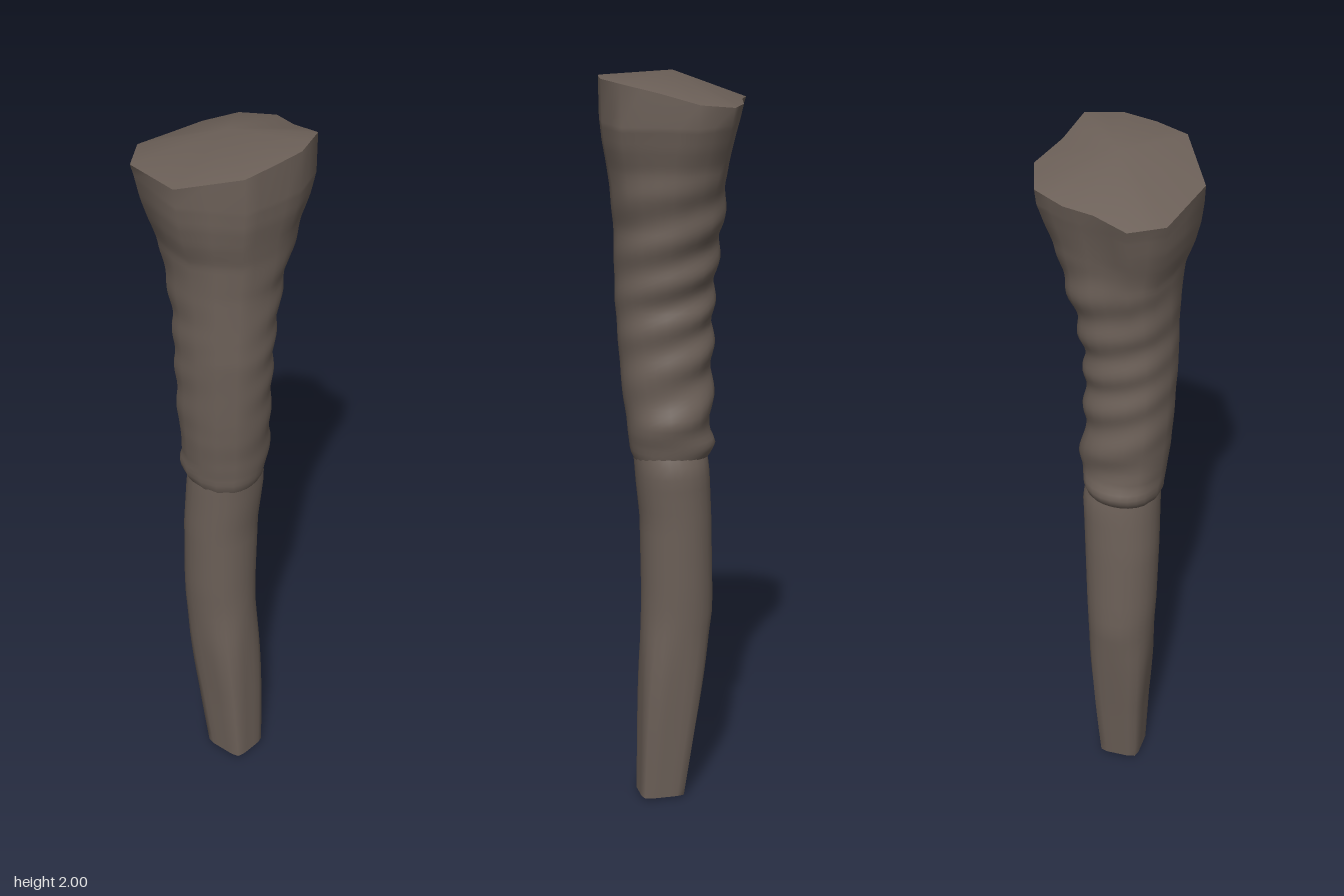
import * as THREE from 'three';

const bark = new THREE.MeshStandardMaterial({ color: 0x6c6058 });
bark.name = 'dull brown';

// uneven outline of the wide top end: x, y, z, clockwise from above
const RIM = [
  [-0.085, 1.91, -0.21], [0.01, 1.92, -0.173], [0.095, 1.92, -0.154], [0.182, 1.925, -0.108],
  [0.214, 1.94, -0.01], [0.17, 1.965, 0.08], [0.145, 1.99, 0.178], [0.048, 1.99, 0.208],
  [-0.04, 1.985, 0.196], [-0.125, 1.975, 0.175], [-0.215, 1.93, 0.025], [-0.17, 1.91, -0.157],
];

// each section: y, xMin, xMax, zMin, zMax
const LOWER = [
  [0.01, -0.057, 0.054, -0.015, 0.105], [0.2, -0.07, 0.064, -0.045, 0.101],
  [0.4, -0.09, 0.075, -0.079, 0.096], [0.53, -0.1, 0.081, -0.1, 0.093],
  [0.6, -0.105, 0.084, -0.1, 0.092], [0.8, -0.111, 0.09, -0.096, 0.095],
  [0.9, -0.11, 0.095, -0.091, 0.106], [0.95, -0.11, 0.099, -0.088, 0.11],
  [0.995, -0.108, 0.082, -0.08, 0.113],
];
const UPPER = [
  [0.965, -0.108, 0.08, -0.08, 0.11], [0.985, -0.119, 0.088, -0.1, 0.119],
  [1.01, -0.121, 0.094, -0.108, 0.122], [1.04, -0.124, 0.101, -0.093, 0.126],
  [1.08, -0.128, 0.105, -0.094, 0.13], [1.13, -0.135, 0.097, -0.1, 0.136],
  [1.2, -0.14, 0.092, -0.1, 0.142], [1.4, -0.15, 0.092, -0.105, 0.155],
  [1.5, -0.151, 0.108, -0.113, 0.158], [1.6, -0.156, 0.128, -0.132, 0.163],
  [1.7, -0.166, 0.158, -0.149, 0.177], [1.76, -0.188, 0.17, -0.163, 0.186],
  [1.82, -0.203, 0.194, -0.181, 0.199], [1.88, -0.211, 0.212, -0.198, 0.207],
];

// linear lookup of a section at height y
function sectionAt(table, y) {
  let i = 0;
  while (i < table.length - 2 && y > table[i + 1][0]) i++;
  const t = (y - table[i][0]) / (table[i + 1][0] - table[i][0]);
  return table[i].map((v, k) => THREE.MathUtils.lerp(v, table[i + 1][k], t));
}

// point on a rounded square of unit half-width
function roundSquare(a, n) {
  const c = Math.cos(a), s = Math.sin(a);
  const r = Math.pow(Math.abs(c) ** n + Math.abs(s) ** n, -1 / n);
  return [c * r, s * r];
}

const place = (s, u, v) => [
  (s[1] + s[2]) / 2 + (u * (s[2] - s[1])) / 2, s[0], (s[3] + s[4]) / 2 + (v * (s[4] - s[3])) / 2,
];

function toMesh(name, points, index) {
  const g = new THREE.BufferGeometry();
  g.setAttribute('position', new THREE.Float32BufferAttribute(points.flat(), 3));
  g.setIndex(index);
  g.computeVertexNormals();
  const mesh = new THREE.Mesh(g, bark);
  mesh.name = name;
  return mesh;
}

// skin through rings that run clockwise seen from above, bottom to top
function skin(name, rings) {
  const n = rings[0].length, index = [];
  for (let r = 0; r < rings.length - 1; r++) {
    for (let i = 0; i < n; i++) {
      const a = r * n + i, b = r * n + ((i + 1) % n);
      index.push(b, a, a + n, b, a + n, b + n);
    }
  }
  return toMesh(name, rings.flat(), index);
}

// flat or domed end
function cap(name, ring, centre, up) {
  const n = ring.length, index = [];
  for (let i = 0; i < n; i++) {
    const j = (i + 1) % n;
    index.push(n, up ? j : i, up ? i : j);
  }
  return toMesh(name, [...ring, centre], index);
}

export function createModel() {
  const group = new THREE.Group();
  group.name = 'taperedLimb';

  // lower shaft: square at the tip, rounder higher up
  const lower = [];
  for (let k = 0; k <= 30; k++) {
    const s = sectionAt(LOWER, THREE.MathUtils.lerp(0.01, 0.995, k / 30));
    const power = 2.15 + 5 * (1 - THREE.MathUtils.smoothstep(s[0], 0, 0.55));
    lower.push(Array.from({ length: 24 }, (_, i) =>
      place(s, ...roundSquare((i / 24) * Math.PI * 2, power))));
  }
  group.add(skin('lowerShaft', lower));
  group.add(cap('tipEnd', lower[0], [0, 0.005, 0.045], false));

  // rim with a midpoint on every edge
  const rim = RIM.flatMap((p, i) => {
    const q = RIM[(i + 1) % RIM.length];
    return [p, p.map((v, k) => (v + q[k]) / 2)];
  });

  // upper shaft: slanting folds, flaring out into the uneven rim
  const upper = [];
  for (let k = 0; k <= 64; k++) {
    const y = THREE.MathUtils.lerp(0.965, 1.88, k / 64);
    const s = sectionAt(UPPER, y);
    const blend = THREE.MathUtils.smoothstep(y, 1.45, 1.86);
    const fade = THREE.MathUtils.smoothstep(y, 1, 1.08) * (1 - THREE.MathUtils.smoothstep(y, 1.6, 1.8));
    upper.push(rim.map(([x, , z]) => {
      const a = Math.atan2(z, x);
      const [u, v] = roundSquare(a, 2.15);
      const side = 0.5 + 0.5 * Math.cos(a + 0.7);
      const fold = 1 + 0.05 * fade * side * Math.sin(48 * y + 2 * a + Math.sin(9 * y));
      return place(s, THREE.MathUtils.lerp(u, x / 0.2145, blend) * fold,
        THREE.MathUtils.lerp(v, z / 0.209, blend) * fold);
    }));
  }
  upper.push(rim);
  group.add(skin('upperShaft', upper));
  group.add(cap('topEnd', rim, [0, 2, 0.01], true));

  return group;
}
